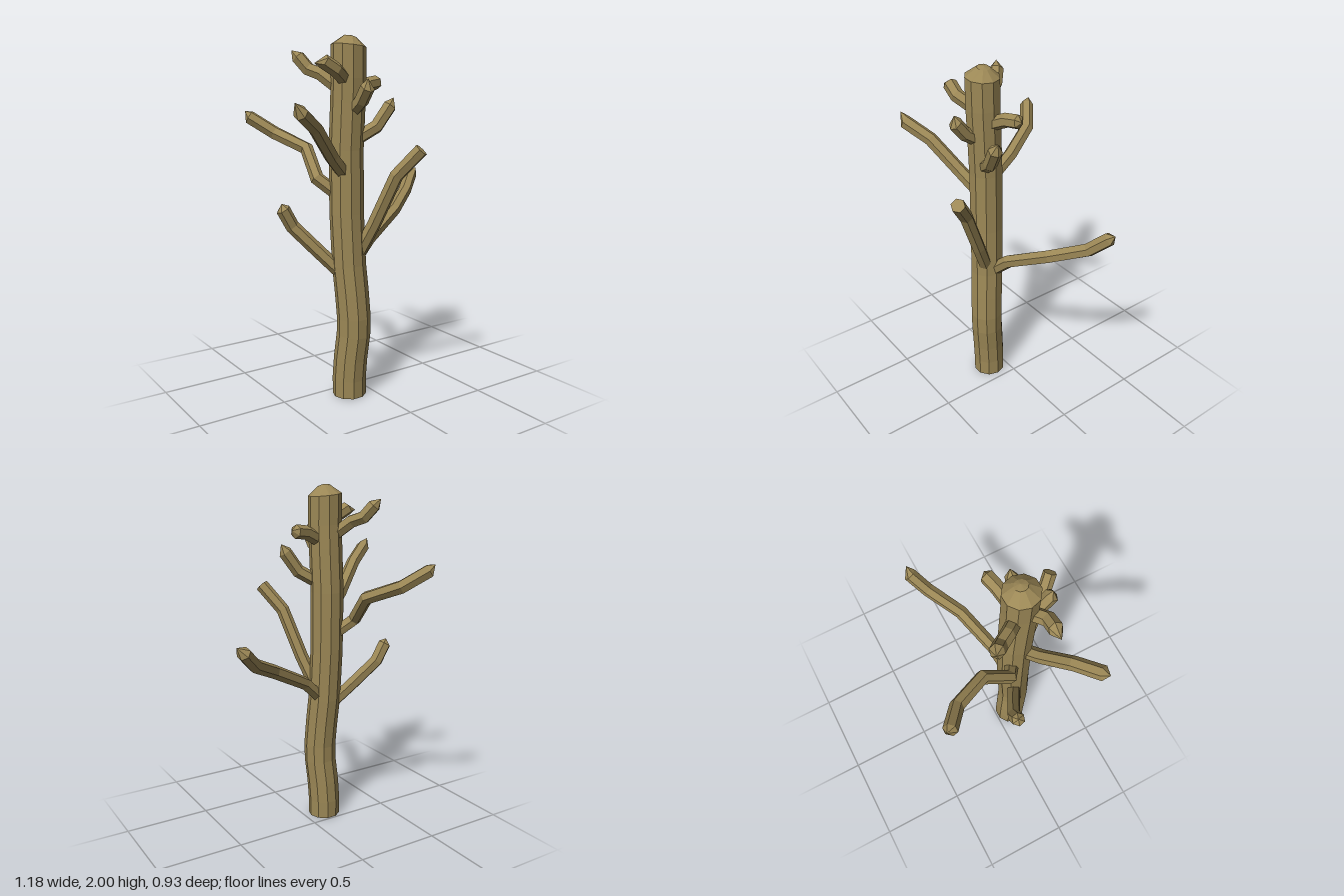
import * as THREE from 'three';

const bark = new THREE.MeshStandardMaterial({ color: 0x9c8856, flatShading: true });

// Faceted limb swept along a path of [x, y, z, radius], closed by a flat base and a pointed end
function limb(name, path, sides, tip, startAngle = 0) {
  const pts = path.map(p => new THREE.Vector3(p[0], p[1], p[2]));
  const last = pts.length - 1;
  const pos = [], index = [];
  const u = new THREE.Vector3(1, 0, 0);
  pts.forEach((p, i) => {
    const before = p.clone().sub(pts[Math.max(i - 1, 0)]).normalize();
    const after = pts[Math.min(i + 1, last)].clone().sub(p).normalize();
    const t = before.add(after).normalize();
    u.addScaledVector(t, -u.dot(t)).normalize();
    const v = t.clone().cross(u);
    for (let j = 0; j < sides; j++) {
      const a = startAngle + (j / sides) * Math.PI * 2;
      const q = p.clone()
        .addScaledVector(u, Math.cos(a) * path[i][3])
        .addScaledVector(v, Math.sin(a) * path[i][3]);
      pos.push(q.x, q.y, q.z);
    }
  });
  const base = pos.length / 3, end = base + 1;
  pos.push(...pts[0].toArray(), ...tip);
  for (let j = 0; j < sides; j++) {
    const k = (j + 1) % sides;
    for (let i = 0; i < last; i++) {
      const a = i * sides + j, b = i * sides + k;
      index.push(a, b, b + sides, a, b + sides, a + sides);
    }
    index.push(base, k, j, last * sides + j, last * sides + k, end);
  }
  const geo = new THREE.BufferGeometry();
  geo.setAttribute('position', new THREE.Float32BufferAttribute(pos, 3));
  geo.setIndex(index);
  geo.computeVertexNormals();
  const mesh = new THREE.Mesh(geo, bark);
  mesh.name = name;
  return mesh;
}

// Branch paths run from inside the trunk to the outer end; tip is the end point
const branches = {
  longLeftBranch: {
    path: [[-0.11, 0.75, 0.09], [0.03, 0.88, 0.06], [0.28, 1.01, -0.03], [0.46, 1.1, -0.15], [0.55, 1.19, -0.21]],
    tip: [0.59, 1.225, -0.21],
  },
  frontRightBranch: {
    path: [[-0.16, 1.26, 0.11], [-0.28, 1.37, 0.165], [-0.43, 1.53, 0.25], [-0.56, 1.61, 0.33]],
    tip: [-0.595, 1.66, 0.335],
  },
  backRightBranch: {
    path: [[-0.17, 1.15, 0.06], [-0.265, 1.24, -0.01], [-0.24, 1.39, -0.16], [-0.335, 1.47, -0.35], [-0.45, 1.56, -0.44]],
    tip: [-0.465, 1.595, -0.465],
  },
  lowRightBranch: {
    path: [[-0.15, 0.69, 0.1], [-0.28, 0.84, 0.02], [-0.4, 0.98, -0.05], [-0.455, 1.08, -0.055]],
    tip: [-0.46, 1.11, -0.06],
  },
  frontLeftBranch: {
    path: [[-0.1, 0.79, 0.12], [-0.04, 1.0, 0.215], [0.02, 1.27, 0.33], [0.105, 1.41, 0.43]],
    tip: [0.105, 1.41, 0.43],
  },
  upperLeftBranch: {
    path: [[-0.12, 1.44, 0.11], [0.01, 1.52, 0.16], [0.085, 1.63, 0.18]],
    tip: [0.11, 1.675, 0.18],
  },
  topLeftStub: {
    path: [[-0.14, 1.67, 0.1], [0.02, 1.745, 0.06], [0.095, 1.755, 0.04]],
    tip: [0.12, 1.76, 0.04],
  },
  frontStub: {
    path: [[-0.13, 1.58, 0.1], [-0.13, 1.66, 0.22], [-0.13, 1.73, 0.275]],
    tip: [-0.13, 1.775, 0.28],
  },
  topBackStub: {
    path: [[-0.15, 1.71, 0.07], [-0.23, 1.8, -0.02], [-0.27, 1.825, -0.08], [-0.31, 1.89, -0.12]],
    tip: [-0.34, 1.925, -0.14],
  },
  topRightStub: {
    path: [[-0.14, 1.75, 0.11], [-0.26, 1.82, 0.175], [-0.33, 1.86, 0.17]],
    tip: [-0.385, 1.85, 0.17],
  },
};

export function createModel() {
  const tree = new THREE.Group();
  tree.name = 'bareTree';

  // Slightly wavy ten-sided trunk with a shallow pointed top
  const trunk = [
    [-0.13, 0, 0.1], [-0.13, 0.1, 0.1], [-0.125, 0.22, 0.107], [-0.114, 0.36, 0.12],
    [-0.113, 0.46, 0.122], [-0.12, 0.6, 0.113], [-0.13, 0.76, 0.1], [-0.138, 1.05, 0.09],
    [-0.138, 1.4, 0.086], [-0.132, 1.65, 0.095], [-0.13, 1.78, 0.1], [-0.13, 1.945, 0.1],
    [-0.12, 1.993, 0.1],
  ].map((p, i) => [...p, i === 12 ? 0.035 : 0.095]);
  tree.add(limb('trunk', trunk, 10, [-0.115, 2, 0.1]));

  // Six-sided branches
  for (const [name, { path, tip }] of Object.entries(branches)) {
    tree.add(limb(name, path.map(p => [...p, 0.039]), 6, tip, Math.PI / 6));
  }
  return tree;
}
